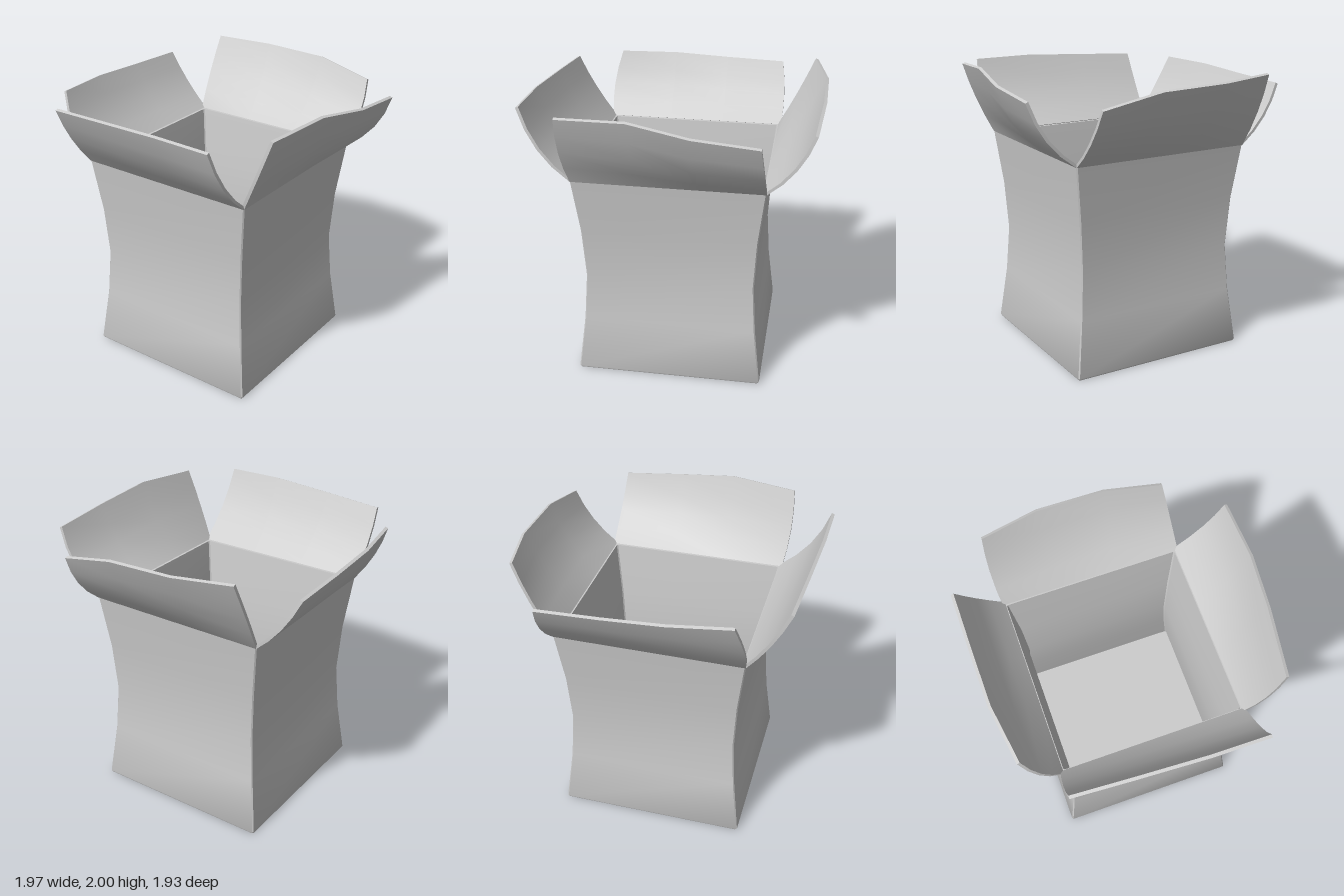
import * as THREE from 'three';
import { toCreasedNormals } from 'three/addons/utils/BufferGeometryUtils.js';

// Closed solid from equal-length loops of [x, y, z], with a cap at each end
function loft(loops, crease) {
  const n = loops[0].length, last = (loops.length - 1) * n, index = [];
  for (let j = 0; j < loops.length - 1; j++) {
    for (let i = 0; i < n; i++) {
      const k = (i + 1) % n, a = j * n + i, b = j * n + k;
      index.push(a, b, b + n, a, b + n, a + n);
    }
  }
  for (let i = 0; i < n / 2 - 1; i++) {
    const [a, b, c, d] = [i, i + 1, n - 2 - i, n - 1 - i];
    index.push(a, c, b, a, d, c);
    index.push(last + a, last + b, last + c, last + a, last + c, last + d);
  }
  const geo = new THREE.BufferGeometry();
  geo.setAttribute('position', new THREE.Float32BufferAttribute(loops.flat(2), 3));
  geo.setIndex(index);
  return toCreasedNormals(geo, crease);
}

// Square cross-section with slightly bevelled corners
function square(h, y, bevel = 0.008) {
  const loop = [];
  for (let q = 0; q < 4; q++) {
    const c = Math.round(Math.cos(q * Math.PI / 2)), s = Math.round(Math.sin(q * Math.PI / 2));
    for (const x of [-h + bevel, h - bevel]) loop.push([x * c + h * s, y, h * c - x * s]);
  }
  return loop;
}

const RIM = 1.46, HALF = 0.645, WALL = 0.025;

// Flap in a frame where z points outward: top = four [x, y, z] tip points,
// bulge = outward bow per column, flare = sideways bow per column
function flapGeometry({ top, bulge, flare }) {
  const hinge = [-HALF, -0.2, 0.2, HALF];
  const loops = top.map(([x, y, z], j) => {
    const outer = [], inner = [];
    for (let r = 0; r <= 4; r++) {
      const t = r / 4, bow = 4 * t * (1 - t);
      const p = [
        THREE.MathUtils.lerp(hinge[j], x, t) + flare[j] * bow,
        THREE.MathUtils.lerp(RIM, y - 0.008, t) - bulge[j] * bow * 0.6,
        THREE.MathUtils.lerp(HALF, z, t) + bulge[j] * bow * 0.8,
      ];
      outer.unshift(p);
      inner.push([p[0], p[1] + 0.008, p[2] - 0.02]);
    }
    return [...outer, ...inner];
  });
  return loft(loops, 0.7);
}

const FLAPS = [
  { name: 'frontFlap', turn: 0, bulge: [0.01, 0.03, 0.05, 0.05], flare: [-0.02, 0, 0, 0.01],
    top: [[-0.665, 1.975, 0.86], [-0.2, 2, 0.925], [0.2, 1.94, 0.98], [0.625, 1.9, 0.975]] },
  { name: 'leftFlap', turn: 1, bulge: [0.04, 0.04, 0.03, 0.01], flare: [-0.01, 0, 0, 0.015],
    top: [[-0.625, 1.87, 0.945], [-0.223, 1.955, 0.98], [0.247, 1.97, 0.98], [0.645, 1.985, 0.895]] },
  { name: 'backFlap', turn: 2, bulge: [0.03, 0.03, 0.03, 0.02], flare: [-0.015, 0, 0, 0.03],
    top: [[-0.625, 1.865, 0.95], [-0.2, 1.88, 0.95], [0.2, 1.9, 0.945], [0.61, 1.91, 0.885]] },
  { name: 'rightFlap', turn: 3, bulge: [0.02, 0.03, 0.04, 0.05], flare: [-0.01, 0, 0, 0.01],
    top: [[-0.655, 1.915, 0.92], [-0.247, 1.935, 0.95], [0.223, 1.955, 0.98], [0.62, 1.95, 0.985]] },
];

export function createModel() {
  const model = new THREE.Group();
  model.name = 'openBox';
  const material = new THREE.MeshStandardMaterial({ color: 0xcccccc });
  const box = new THREE.Group();
  box.name = 'box';
  box.position.z = -0.023;
  model.add(box);

  const add = (name, geometry, turn = 0) => {
    const mesh = new THREE.Mesh(geometry, material);
    mesh.name = name;
    mesh.rotation.y = turn * Math.PI / 2;
    box.add(mesh);
  };

  // Hollow body pinched at the waist: up the outside, over the rim, down to the floor
  const profile = [[HALF, 0.012], [0.6, 0.4], [0.58, 0.73], [0.6, 1.08], [HALF, RIM]];
  const inside = profile.map(([h, y]) => [h - WALL, Math.max(y, WALL)]).reverse();
  const rows = [[HALF - 0.006, 0], ...profile, ...inside];
  add('body', loft(rows.map(([h, y]) => square(h, y)), 0.6));

  // Bent flaps hinged on the four rim edges
  for (const flap of FLAPS) add(flap.name, flapGeometry(flap), flap.turn);

  return model;
}
